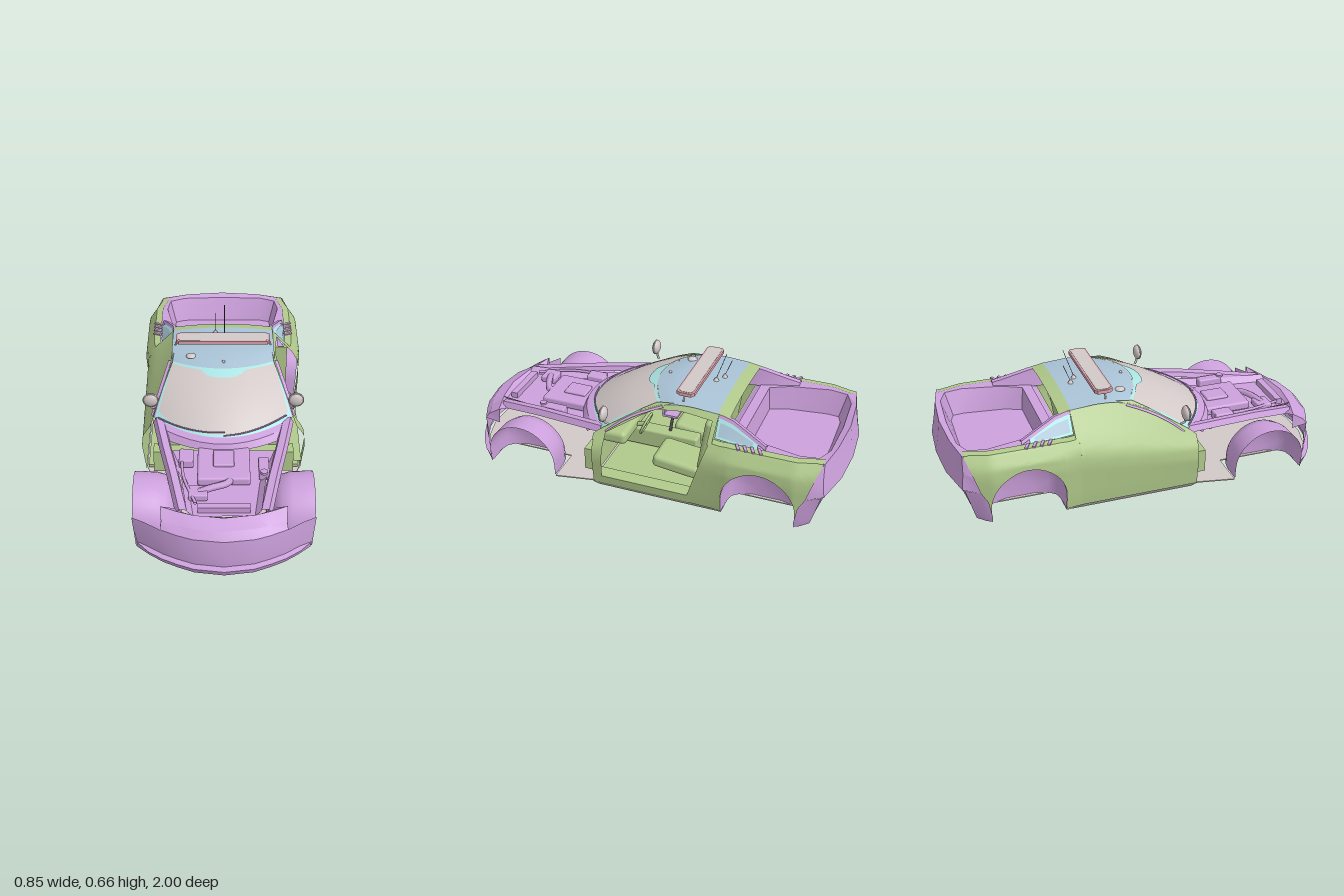
import * as THREE from 'three';
import { toCreasedNormals } from 'three/addons/utils/BufferGeometryUtils.js';
import { RoundedBoxGeometry } from 'three/addons/geometries/RoundedBoxGeometry.js';

const mat = (name, color, side = THREE.DoubleSide) => {
  const m = new THREE.MeshStandardMaterial({ color, side });
  m.name = name;
  return m;
};

// piecewise linear lookup, keys ascending
function look(table, v) {
  if (v <= table[0][0]) return table[0][1];
  for (let i = 1; i < table.length; i++) {
    const [a, p] = table[i - 1], [b, q] = table[i];
    if (v <= b) return p + (q - p) * (v - a) / (b - a);
  }
  return table[table.length - 1][1];
}
const mix = (a, b, t) => a + (b - a) * t;
const steps = (a, b, n) => Array.from({ length: n + 1 }, (_, i) => mix(a, b, i / n));

// surface through rows of points
function grid(rows, crease = 0.6) {
  const n = rows[0].length, index = [];
  for (let i = 0; i < rows.length - 1; i++)
    for (let j = 0; j < n - 1; j++) {
      const a = i * n + j, b = a + 1, c = a + n, d = c + 1;
      index.push(a, b, c, b, d, c);
    }
  const g = new THREE.BufferGeometry();
  g.setAttribute('position', new THREE.Float32BufferAttribute(rows.flat(2), 3));
  g.setIndex(index);
  return toCreasedNormals(g, crease);
}
// half row (centre to +x) completed across the middle, running -x to +x
const full = half => [...half.slice(1).reverse().map(([x, y, z]) => [-x, y, z]), ...half];
// rows moved to side s
const flip = (s, rows) => rows.map(r => r.map(([x, y, z]) => [s * x, y, z]));

// body side: half width along the car, shoulder height, roof line
const width = z => look([[-0.92, 0.385], [-0.8, 0.425], [-0.48, 0.425], [-0.37, 0.41], [0.23, 0.41]], z);
const roofLine = z => look([[-0.44, 0.47], [-0.37, 0.475], [-0.2, 0.485], [-0.07, 0.472], [0, 0.435], [0.2, 0.31], [0.23, 0.285]], z);
function sideX(y, z) {
  const s = look([[-0.4, 0.37], [0.2, 0.285]], z);
  return width(z) * look([[0, 0.95], [0.07, 0.97], [s - 0.12, 1], [s - 0.06, 0.985], [s, 0.89], [0.49, 0.6]], y);
}
// side panel from columns [zBottom, yBottom, zTop, yTop], optionally folded inwards at the top
function panel(s, cols, n = 12, fold = 0) {
  return grid(cols.map(([zb, yb, zt, yt]) => {
    const pts = steps(0, 1, n).map(t => {
      const y = mix(yb, yt, t), z = mix(zb, zt, t);
      return [s * sideX(y, z), y, z];
    });
    if (fold) pts.push([s * (sideX(yt, zt) - fold), yt + 0.004, zt]);
    return pts;
  }));
}
// windshield surface, u across and v upwards
function glass(u, v, off = 0) {
  const q = u * u, bulge = 0.012 * Math.sin(Math.PI * v);
  return [u * mix(0.342, 0.265, v), mix(0.307, 0.479 - 0.017 * q, v) + bulge + off, mix(0.355 - 0.17 * q, 0.003 - 0.1 * q, v) + bulge + off];
}
const glassPatch = (u0, u1, low, high, off = 0) =>
  grid(steps(0, 1, 8).map(t => steps(u0, u1, 24).map(u => glass(u, mix(low(u), high(u), t), off))));

export function createModel() {
  const purple = mat('body purple', 0xcda1dd), green = mat('cabin green', 0xb0c98b);
  const grey = mat('pale grey', 0xd2c9c8, THREE.FrontSide), cyan = mat('glass tint cyan', 0xabe6e5, THREE.FrontSide);
  const blue = mat('roof blue', 0xa9c3d6), red = mat('light bar red', 0xdfa2ac), dark = mat('dark trim', 0x5c565c);
  const model = new THREE.Group();
  const add = (name, geo, m, x = 0, y = 0, z = 0) => {
    const mesh = new THREE.Mesh(geo, m);
    mesh.name = name;
    mesh.position.set(x, y, z);
    model.add(mesh);
    return mesh;
  };
  const box = (name, m, w, h, d, x, y, z, r = 0) =>
    add(name, r ? new RoundedBoxGeometry(w, h, d, 2, r) : new THREE.BoxGeometry(w, h, d), m, x, y, z);
  const rod = (name, m, pts, r) => add(name, new THREE.TubeGeometry(
    new THREE.CatmullRomCurve3(pts.map(p => new THREE.Vector3(...p))), 12, r, 6), m);
  const plate = (outline, depth) => {
    const pts = [...outline, ...outline.slice().reverse().map(([x, z]) => [-x, z])];
    return new THREE.ExtrudeGeometry(new THREE.Shape(pts.map(([x, z]) => new THREE.Vector2(x, -z))), { depth, bevelEnabled: false }).rotateX(-Math.PI / 2);
  };

  // floor with wheel cut-outs
  add('floor', plate([[0.08, 0.96], [0.2, 0.925], [0.3, 0.875], [0.39, 0.8], [0.22, 0.8], [0.22, 0.43], [0.41, 0.43],
    [0.375, 0.24], [0.39, 0.2], [0.39, -0.45], [0.22, -0.45], [0.22, -0.81], [0.26, -0.82], [0.14, -0.885]], 0.006), grey, 0, 0.002, 0);

  // front bumper, lip and nose
  const nose = [[0, 0.998], [0.14, 0.978], [0.22, 0.945], [0.29, 0.91], [0.36, 0.86], [0.42, 0.795]];
  const noseRow = (y, back, k) => full(nose.map(([x, z]) => [x * k, y, z - back * (x > 0.4 ? 0 : 1)]));
  add('frontBumper', grid([noseRow(0, 0.012, 0.96), noseRow(0.03, 0, 0.975), noseRow(0.036, 0.028, 0.975),
    noseRow(0.1, 0.026, 0.995), noseRow(0.18, 0.032, 1.01)]), purple);
  add('nosePanel', grid([
    full([[0, 0.18, 0.966], [0.14, 0.18, 0.947], [0.21, 0.18, 0.92], [0.29, 0.182, 0.882]]),
    full([[0, 0.215, 0.935], [0.14, 0.215, 0.915], [0.2, 0.21, 0.89], [0.285, 0.212, 0.86]]),
    full([[0, 0.24, 0.87], [0.14, 0.24, 0.85], [0.22, 0.243, 0.825], [0.29, 0.25, 0.8]]),
    full([[0, 0.21, 0.83], [0.14, 0.21, 0.82], [0.19, 0.215, 0.8], [0.22, 0.22, 0.78]])], 0.3), purple);

  // engine bay
  add('engineTray', grid([[0.84, 0.17], [0.6, 0.2], [0.35, 0.28]].map(([z, x]) =>
    [[-x, 0.255, z], [-x + 0.03, 0.225, z], [x - 0.03, 0.225, z], [x, 0.255, z]])), purple);
  add('cowl', grid([
    steps(-1, 1, 12).map(u => [u * 0.33, 0.265, 0.41 - 0.13 * u * u]),
    steps(-1, 1, 12).map(u => [u * 0.335, 0.297, 0.395 - 0.16 * u * u]),
    steps(-1, 1, 12).map(u => glass(u, 0))], 0.4), purple);
  box('engineBlock', purple, 0.25, 0.045, 0.26, 0, 0.25, 0.5, 0.012);
  box('engineCover', purple, 0.1, 0.02, 0.12, 0, 0.275, 0.48, 0.008);
  box('radiator', purple, 0.24, 0.03, 0.035, 0, 0.24, 0.8);
  box('batteryBox', purple, 0.07, 0.045, 0.1, -0.18, 0.255, 0.45, 0.008);
  box('fluidTank', purple, 0.05, 0.045, 0.13, 0.19, 0.255, 0.53, 0.008);
  box('airBox', purple, 0.09, 0.035, 0.08, -0.12, 0.245, 0.7, 0.008);
  add('fillerCap', new THREE.CylinderGeometry(0.018, 0.018, 0.012, 16), purple, 0.19, 0.28, 0.59);
  rod('intakePipe', purple, [[-0.12, 0.25, 0.7], [-0.06, 0.26, 0.68], [0.02, 0.258, 0.64], [0.04, 0.255, 0.58]], 0.018);
  rod('hose', purple, [[-0.2, 0.27, 0.4], [-0.19, 0.265, 0.6], [-0.13, 0.25, 0.78]], 0.008);

  // windshield, tint and wipers
  const top = () => 1, bottom = () => 0;
  add('windshield', glassPatch(-1, 1, bottom, top), grey);
  add('topTint', glassPatch(-1, 1, u => 0.96 - 0.1 * Math.max(0, 1 - (u / 0.42) ** 4), top, 0.003), cyan);
  add('bottomTint', glassPatch(-1, 1, bottom, u => 0.04 + 0.09 * u ** 6, 0.003), cyan);
  for (const u of [-1, 0.97]) add('sideTint', glassPatch(u, u + 0.03, bottom, top, 0.003), cyan);
  [[-0.95, 0.02], [0.0, 0.93]].forEach(([a, b]) => rod('wiper', purple,
    steps(0, 1, 4).map(t => glass(mix(a, b, t), 0.02 + 0.05 * t, 0.008)), 0.004));

  // roof
  const roofY = z => look([[-0.44, 0.482], [-0.38, 0.495], [-0.2, 0.504], [-0.08, 0.499], [0, 0.48]], z);
  const roofRow = (t, z0, z1) => steps(-1, 1, 12).map(u => {
    const z = mix(z0 - 0.1 * u * u, z1, t);
    return [u * 0.265, roofY(mix(z0, z1, t)) - 0.019 * u * u, z];
  });
  add('roof', grid(steps(0, 1, 8).map(t => roofRow(t, 0.003, -0.38))), blue);
  add('roofRearBand', grid([-0.38, -0.41, -0.44].map(z => steps(-1, 1, 12).map(u => [u * 0.265, roofY(z) - 0.019 * u * u, z]))), green);

  // trunk tub and rear deck
  const loop = (y, pts) => full(pts.map(([x, z, dy = 0]) => [x, y + dy, z]));
  add('trunkTub', grid([
    loop(0.372, [[0, -0.97, 0.013], [0.2, -0.955, 0.01], [0.345, -0.925], [0.36, -0.8], [0.35, -0.63], [0.3, -0.45], [0, -0.45]]),
    loop(0.372, [[0, -0.935], [0.22, -0.925], [0.3, -0.89], [0.315, -0.8], [0.275, -0.6], [0.225, -0.5], [0, -0.5]]),
    loop(0.25, [[0, -0.885], [0.22, -0.88], [0.27, -0.86], [0.275, -0.8], [0.25, -0.6], [0.215, -0.51], [0, -0.51]]),
    loop(0.25, Array(7).fill([0, -0.7]))], 0.4), purple);

  // rear bumper, underside and exhausts
  add('rearBumper', grid([
    full([[0, 0.385, -0.97], [0.2, 0.382, -0.955], [0.345, 0.374, -0.925], [0.35, 0.37, -0.92]]),
    full([[0, 0.3, -0.982], [0.2, 0.3, -0.968], [0.37, 0.295, -0.93], [0.405, 0.28, -0.885]]),
    full([[0, 0.215, -0.998], [0.2, 0.215, -0.985], [0.375, 0.21, -0.94], [0.415, 0.2, -0.86]])], 0.4), purple);
  add('rearBumperUnderside', grid([
    full([[0, 0.215, -0.998], [0.2, 0.215, -0.985], [0.375, 0.21, -0.94]]),
    full([[0, 0.22, -0.93], [0.2, 0.22, -0.925], [0.33, 0.2, -0.9]])]), purple);
  for (const x of [-0.055, 0.055])
    box('exhaust', purple, 0.085, 0.05, 0.13, x, 0.07, -0.83, 0.02);

  // parts on both sides
  const arc = (z0, cy, r) => [[z0 + r, 0.01], ...steps(0, Math.PI, 20).map(a => [z0 + r * Math.cos(a), cy + r * Math.sin(a)]), [z0 - r, 0.01]];
  for (const s of [1, -1]) {
    // domed wheel liners
    for (const [name, z0, cy, rim] of [['frontWheelArch', 0.615, 0.075, 0.424], ['rearWheelArch', -0.632, 0.1, 0.412]])
      add(name, grid([[rim, 1], [0.32, 0.99], [0.27, 0.93], [0.235, 0.75], [0.21, 0.4], [0.205, 0]].map(([x, k]) =>
        arc(z0, cy, 0.183).map(([z, y]) => [s * (x - 0.07 * k * Math.max(0, 0.2 - y)), y * k, z0 + (z - z0) * k])), 0.9), purple);

    // headlight side wall and fender rails beside the engine bay
    add('headlightWall', grid(flip(s, [
      [[0.29, 0.182, 0.882], [0.285, 0.212, 0.86], [0.29, 0.25, 0.8]], [[0.29, 0.17, 0.8], [0.29, 0.2, 0.8], [0.29, 0.25, 0.795]]])), purple);
    add('fenderRail', grid(flip(s, [[0.82, 0.22, 0.248], [0.6, 0.265, 0.278], [0.4, 0.31, 0.3], [0.2, 0.35, 0.318]].map(([z, x, y]) =>
      [[x - 0.06, y - 0.03, z], [x - 0.05, y - 0.005, z], [x - 0.015, y, z], [x, y - 0.03, z]]))), purple);

    // rear quarter over the wheel
    const edge = arc(-0.632, 0.1, 0.183).slice(1, -1);
    add('rearQuarter', panel(s, [[s > 0 ? -0.26 : -0.37, 0.015, -0.37, 0.37], [-0.4, 0.015, -0.42, 0.37], [-0.449, 0.015, -0.45, 0.372],
      ...edge.map(([z, y], i) => [z, y, mix(-0.46, -0.915, i / 20), 0.373]), [-0.82, 0.05, -0.92, 0.372]], 12, 0.035), green);
    add('rearCornerLeg', grid(flip(s, [
      [[0.35, 0.21, -0.94], [0.385, 0.21, -0.93], [0.415, 0.2, -0.86], [0.425, 0.15, -0.83]],
      [[0.32, 0.06, -0.89], [0.36, 0.06, -0.89], [0.4, 0.06, -0.85], [0.415, 0.06, -0.815]],
      [[0.31, 0.03, -0.88], [0.35, 0.025, -0.88], [0.39, 0.025, -0.84], [0.405, 0.025, -0.815]]])), purple);
    for (const z of steps(-0.51, -0.62, 3)) box('louver', purple, 0.045, 0.008, 0.014, s * 0.358, 0.377, z).rotation.y = s * 0.5;

    // rear pillar, leaning quarter window and buttress: [z, base x, top x, top y]
    add('rearPillar', panel(s, [[-0.36, 0.36, -0.36, 0.475], [-0.385, 0.36, -0.385, 0.475]]), green);
    const spine = [[-0.385, 0.325, 0.27, 0.46], [-0.46, 0.335, 0.278, 0.443], [-0.6, 0.338, 0.322, 0.388]];
    const pane = (a, b, off, cols) => {
      const rows = flip(s, cols.map(([z, x0, x1, y]) => [a, b].map(t => [mix(x0, x1, t) + off, mix(0.375, y, t), z])));
      return grid(s > 0 ? rows.reverse() : rows);
    };
    add('quarterWindowRim', pane(0, 1, 0, spine), cyan);
    add('quarterWindow', pane(0.15, 0.82, 0.003, [[-0.4, 0.326, 0.271, 0.457], spine[1], [-0.575, 0.338, 0.314, 0.398]]), blue);
    add('buttress', grid(flip(s, [...spine, [-0.64, 0.34, 0.336, 0.373]].map(([z, , x, y]) =>
      [[x, y, z], [x - 0.008, y + 0.016, z], [x - 0.03, y + 0.012, z], [x - 0.04, 0.365, z]])), 0.3), purple);
    add('windshieldPillar', grid(flip(s, steps(0, 1, 6).map(v => [1, 1.035, 1.06].map(u => glass(u, v))))), purple);

    // spotlights
    add('spotlight', new THREE.SphereGeometry(0.038, 24, 16), grey, s * 0.36, 0.408, 0.175).scale.z = 0.55;
    add('spotlightRim', new THREE.TorusGeometry(0.036, 0.004, 8, 28), grey, s * 0.36, 0.408, 0.18);
    rod('spotlightArm', grey, [[s * 0.36, 0.375, 0.172], [s * 0.357, 0.36, 0.168], [s * 0.345, 0.345, 0.155]], 0.006);

    // seats
    const x = s * 0.16;
    box('seatCushion', green, 0.2, 0.07, 0.25, x, 0.1, -0.16, 0.025).rotation.x = -0.12;
    box('seatBack', green, 0.2, 0.3, 0.06, x, 0.26, -0.32, 0.025).rotation.x = -0.15;
    box('headrest', green, 0.13, 0.06, 0.04, x, 0.415, -0.345, 0.018).rotation.x = -0.15;

    // light bar feet
    rod('lightBarFoot', grey, [[s * 0.2, 0.518, -0.2], [s * 0.24, 0.516, -0.2], [s * 0.248, 0.497, -0.2]], 0.005);
    box('lightBarBracket', grey, 0.07, 0.01, 0.04, s * 0.14, 0.517, -0.2);
  }

  // closed door on the right, open frame on the left
  const doorZ = steps(0.23, -0.37, 24);
  add('rightDoor', panel(-1, doorZ.map(z => [z, 0.015, z, roofLine(z)]), 16), green);
  add('leftRoofRail', panel(1, doorZ.map(z => [z, roofLine(z) - 0.03, z, roofLine(z)]), 3), green);
  add('leftFrontPost', panel(1, [[0.225, 0.015, 0.225, 0.285], [0.18, 0.015, 0.165, 0.32]]), green);
  add('leftSill', panel(1, steps(0.22, -0.28, 8).map(z => [z, 0.012, z, 0.06]), 4, 0.07), green);

  // cabin interior
  box('cabinFloor', green, 0.76, 0.015, 0.65, 0, 0.03, -0.105);
  box('footwell', green, 0.7, 0.12, 0.07, 0, 0.11, 0.255);
  box('firewall', green, 0.66, 0.14, 0.01, 0, 0.22, 0.225);
  box('dashboard', green, 0.66, 0.07, 0.15, 0, 0.255, 0.15, 0.025);
  box('console', green, 0.08, 0.1, 0.4, 0, 0.09, 0, 0.012);
  box('rearBulkhead', green, 0.7, 0.32, 0.01, 0, 0.19, -0.42);
  add('rearWindowSill', grid([[[-0.3, 0.35, -0.42], [0.3, 0.35, -0.42]], [[-0.3, 0.372, -0.46], [0.3, 0.372, -0.46]]]), purple);
  add('steeringWheel', new THREE.TorusGeometry(0.055, 0.007, 8, 28), green, 0.16, 0.265, 0.03).rotation.x = -0.4;
  rod('steeringColumn', green, [[0.16, 0.265, 0.03], [0.16, 0.25, 0.08], [0.16, 0.24, 0.12]], 0.012);
  box('computerScreen', purple, 0.12, 0.08, 0.012, 0, 0.31, -0.03).rotation.x = -0.2;
  box('computerBase', purple, 0.12, 0.012, 0.08, 0, 0.265, -0.06);
  rod('computerStand', dark, [[0, 0.13, -0.04], [0, 0.2, -0.05], [0, 0.26, -0.06]], 0.008);

  // roof equipment
  const bar = [[0.23, -0.158], [0.243, -0.18], [0.243, -0.235], [0.225, -0.248]];
  add('lightBar', plate(bar, 0.018), red, 0, 0.523, 0);
  add('lightBarLid', plate(bar.map(([x, z]) => [x * 0.96, -0.203 + (z + 0.203) * 0.8]), 0.002), grey, 0, 0.541, 0);
  add('roofDome', new THREE.SphereGeometry(0.025, 20, 8, 0, Math.PI * 2, 0, Math.PI / 2), grey, -0.165, 0.49, -0.1).scale.y = 0.5;
  for (const [x, z, tip, dz] of [[0.008, -0.285, 0.657, -0.05], [-0.04, -0.315, 0.6, -0.035]]) {
    add('antennaBase', new THREE.CylinderGeometry(0.004, 0.014, 0.018, 12), grey, x, 0.508, z);
    rod('antenna', dark, [[x, 0.51, z], [x, (0.51 + tip) / 2, z + dz / 2], [x, tip, z + dz]], 0.0015);
  }
  add('roofAerial', new THREE.SphereGeometry(0.008, 12, 8), grey, 0.002, 0.495, -0.04);

  return model;
}
